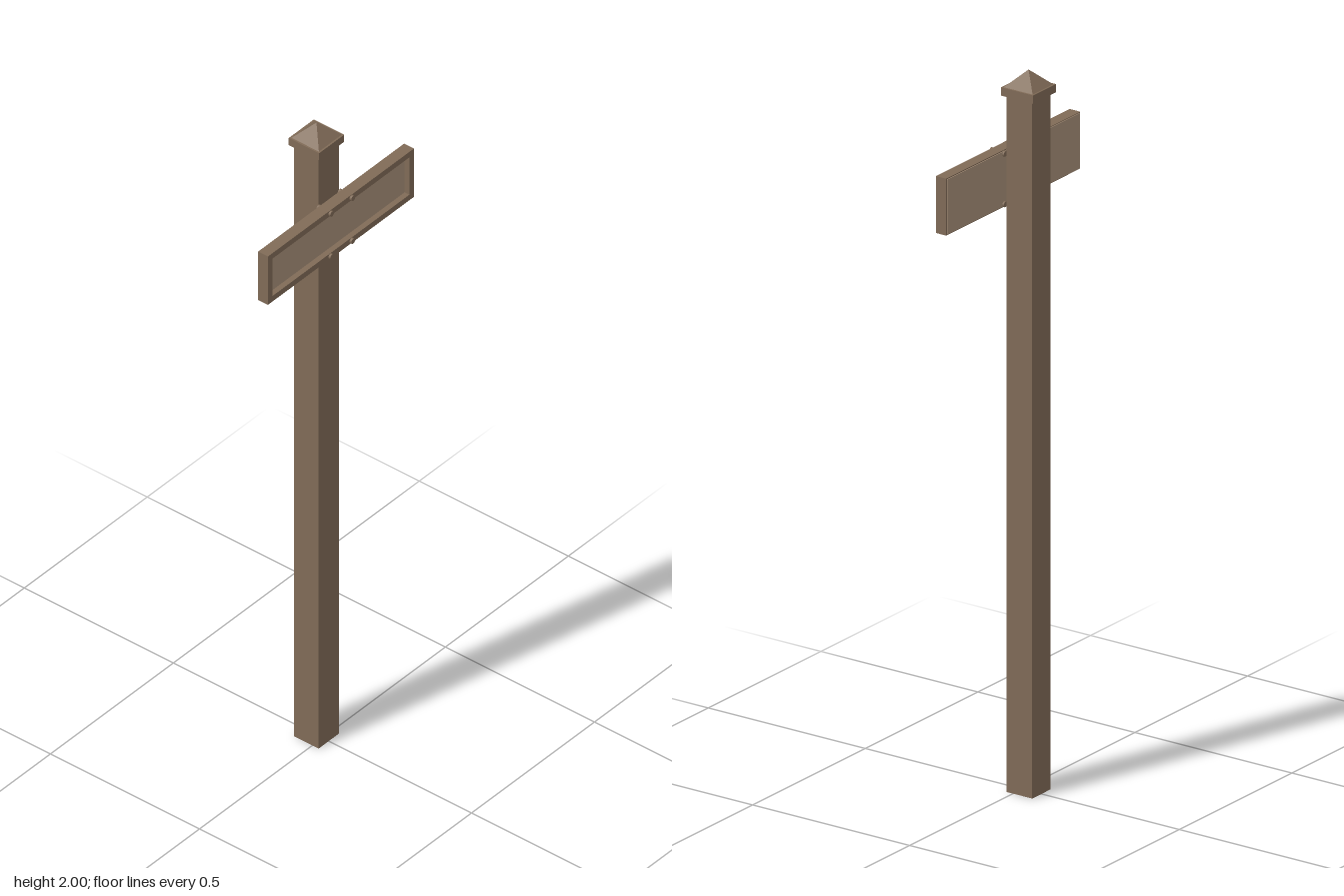
import * as THREE from 'three';

const wood = new THREE.MeshStandardMaterial({ name: 'brown wood', color: 0x806b57 });
const lightWood = new THREE.MeshStandardMaterial({ name: 'light wood', color: 0xa68f78 });

function add(group, name, geometry, material, x, y, z) {
  const mesh = new THREE.Mesh(geometry, material);
  mesh.name = name;
  mesh.position.set(x, y, z);
  group.add(mesh);
  return mesh;
}

export function createModel() {
  const model = new THREE.Group();
  model.name = 'signpost';
  const postZ = -0.02;

  // Square post with a collar and a pyramid cap
  add(model, 'post', new THREE.BoxGeometry(0.082, 1.935, 0.082), wood, 0, 0.9675, postZ);
  add(model, 'capCollar', new THREE.BoxGeometry(0.102, 0.023, 0.102), wood, 0, 1.9435, postZ);
  const pyramid = new THREE.ConeGeometry(0.046 * Math.SQRT2, 0.045, 4, 1).rotateY(Math.PI / 4).toNonIndexed();
  pyramid.computeVertexNormals();
  add(model, 'capPyramid', pyramid, wood, 0, 1.9775, postZ);

  // Sign: a raised frame around a recessed board
  const sign = new THREE.Group();
  sign.name = 'sign';
  sign.position.y = 1.7;
  model.add(sign);
  const w = 0.297, h = 0.079, rim = 0.018;
  const outline = new THREE.Shape([[-w, -h], [w, -h], [w, h], [-w, h]].map(p => new THREE.Vector2(...p)));
  const iw = w - rim, ih = h - rim;
  outline.holes.push(new THREE.Path([[-iw, -ih], [-iw, ih], [iw, ih], [iw, -ih]].map(p => new THREE.Vector2(...p))));
  add(sign, 'frame', new THREE.ExtrudeGeometry(outline, { depth: 0.033, bevelEnabled: false }), wood, 0, 0, 0.029);
  add(sign, 'board', new THREE.BoxGeometry(iw * 2, ih * 2, 0.018), lightWood, 0, 0, 0.037);
  add(sign, 'backBoard', new THREE.BoxGeometry(w * 2 - 0.005, h * 2 - 0.005, 0.003), lightWood, 0, 0, 0.0285);

  // Bolts through the frame into the post
  for (const x of [-0.043, 0.043]) {
    for (const y of [-0.07, 0.07]) {
      const bolt = new THREE.CylinderGeometry(0.008, 0.008, 0.046, 12).rotateX(Math.PI / 2);
      add(sign, 'bolt', bolt, wood, x, y, 0.045);
    }
  }
  return model;
}
